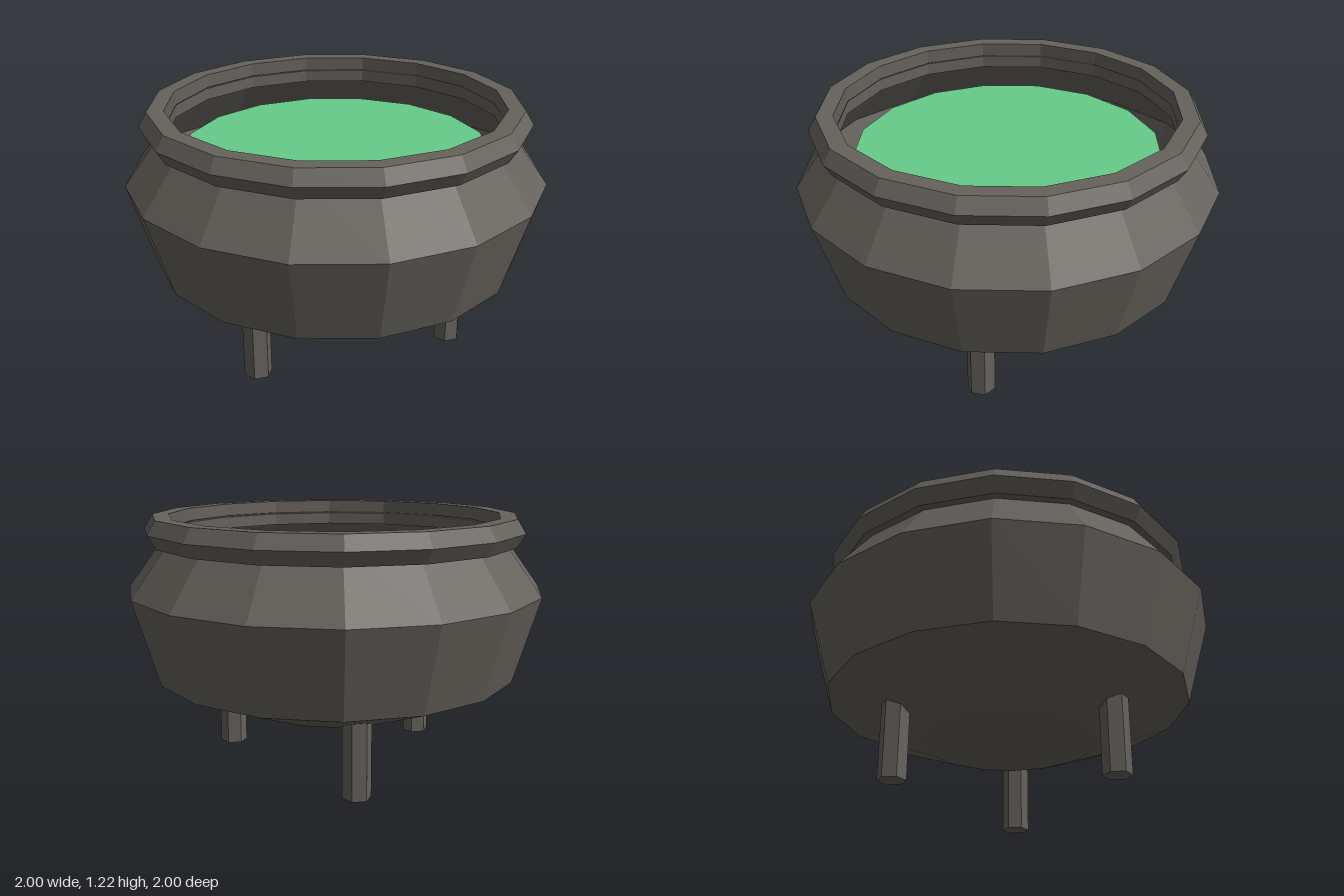
import * as THREE from 'three';

const SIDES = 16;

export function createModel() {
  const model = new THREE.Group();
  const iron = new THREE.MeshStandardMaterial({ color: 0x66625c, flatShading: true, side: THREE.DoubleSide });
  const green = new THREE.MeshStandardMaterial({ color: 0x66cc88, flatShading: true, side: THREE.DoubleSide });

  const add = (name, geometry, material) => {
    const mesh = new THREE.Mesh(geometry, material);
    mesh.name = name;
    model.add(mesh);
    return mesh;
  };
  const lathe = (points) =>
    new THREE.LatheGeometry(points.map(([r, y]) => new THREE.Vector2(r, y)), SIDES);

  // Thin-walled bowl: flat base, flared belly, shoulder leaning in to the neck
  add('bowl', lathe([[0, 0.28], [0.43, 0.28], [0.88, 0.46], [1, 0.87], [0.787, 1.16]]), iron);

  // Thick rim with a pointed outer edge and a straight inner wall
  add('rim', lathe([
    [0.797, 1.09], [0.875, 1.09], [0.915, 1.155], [0.875, 1.22], [0.797, 1.22], [0.797, 1.09],
  ]), iron);

  // Liquid surface inside the bowl
  const liquid = add('liquid', new THREE.CircleGeometry(0.727, SIDES), green);
  liquid.rotation.x = -Math.PI / 2;
  liquid.position.y = 1.01;

  // Three hexagonal legs, one on the left side and two on the right
  const legHeight = 0.4;
  for (let i = 0; i < 3; i++) {
    const a = (i * Math.PI * 2) / 3;
    const leg = add('leg' + (i + 1), new THREE.CylinderGeometry(0.067, 0.067, legHeight, 6), iron);
    leg.position.set(Math.cos(a) * 0.575, legHeight / 2, Math.sin(a) * 0.575);
  }

  return model;
}
